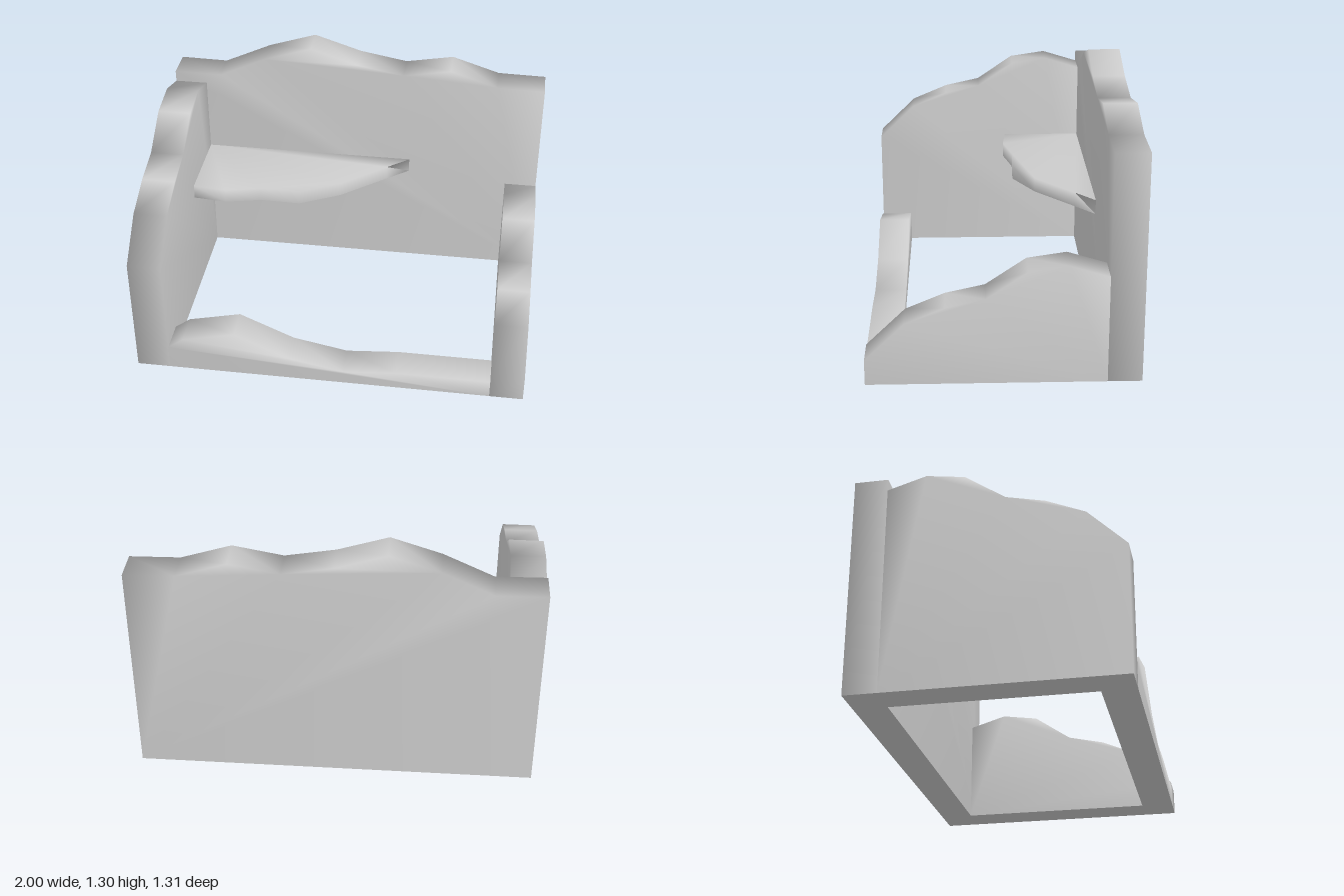
import * as THREE from 'three';
import { mergeVertices } from 'three/addons/utils/BufferGeometryUtils.js';

const material = new THREE.MeshStandardMaterial({ color: 0xcccccc });

function extrude(outline, depth) {
  const shape = new THREE.Shape(outline.map(([x, y]) => new THREE.Vector2(x, y)));
  return new THREE.ExtrudeGeometry(shape, { depth, bevelEnabled: false });
}

// Smooth normals over the whole slab, keeping only the underside crisp
function smooth(geometry) {
  geometry.computeBoundingBox();
  const floor = geometry.boundingBox.min.y + 1e-4;
  const plain = new THREE.BufferGeometry();
  const pos = geometry.getAttribute('position');
  plain.setAttribute('position', pos);
  const seam = new Float32Array(pos.count);
  for (let i = 0; i < pos.count; i += 3) {
    if ([0, 1, 2].every((k) => pos.getY(i + k) < floor)) seam.fill(1, i, i + 3);
  }
  plain.setAttribute('seam', new THREE.BufferAttribute(seam, 1));
  const merged = mergeVertices(plain);
  merged.deleteAttribute('seam');
  merged.computeVertexNormals();
  return merged;
}

// Close a ridge line down to the ground
const grounded = (ridge) => [[ridge[0][0], 0], ...ridge, [ridge[ridge.length - 1][0], 0]];

export function createModel() {
  const group = new THREE.Group();
  const add = (name, geometry) => {
    const mesh = new THREE.Mesh(smooth(geometry), material);
    mesh.name = name;
    group.add(mesh);
  };

  // Walls running along x, with ridge points (x, y)
  const wallX = (name, ridge, z, depth) =>
    add(name, extrude(grounded(ridge), depth).translate(0, 0, z));

  wallX('backWall', [
    [-1, 1.11], [-0.75, 1.105], [-0.5, 1.22], [-0.25, 1.3], [0, 1.22],
    [0.25, 1.175], [0.5, 1.22], [0.75, 1.14], [1, 1.135],
  ], -0.655, 0.165);

  wallX('frontWall', [
    [-0.83, 0.13], [-0.75, 0.19], [-0.48, 0.255], [-0.2, 0.128],
    [0.08, 0.072], [0.35, 0.095], [0.83, 0.095],
  ], 0.49, 0.165);

  // Side walls share one ridge (z, y); the left one is lower
  const sideRidge = [
    [0.655, 0.64], [0.465, 0.825], [0.275, 0.905], [0.085, 0.947],
    [-0.11, 1.08], [-0.3, 1.108], [-0.49, 1.05],
  ];
  for (const [name, x, drop] of [['rightWall', -1, 0], ['leftWall', 0.83, 0.514]]) {
    const ridge = sideRidge.map(([z, y]) => [-z, y - drop]);
    add(name, extrude(grounded(ridge), 0.17).rotateY(Math.PI / 2).translate(x, 0, 0));
  }

  // Corner shelf, outline points (x, z)
  const shelf = [
    [-0.83, -0.49], [-0.83, -0.068], [-0.655, -0.052], [-0.47, -0.095],
    [-0.26, -0.09], [-0.05, -0.2], [0.18, -0.395], [0.295, -0.49],
  ].map(([x, z]) => [x, -z]);
  add('cornerShelf', extrude(shelf, 0.075).rotateX(-Math.PI / 2).translate(0, 0.575, 0));

  return group;
}
